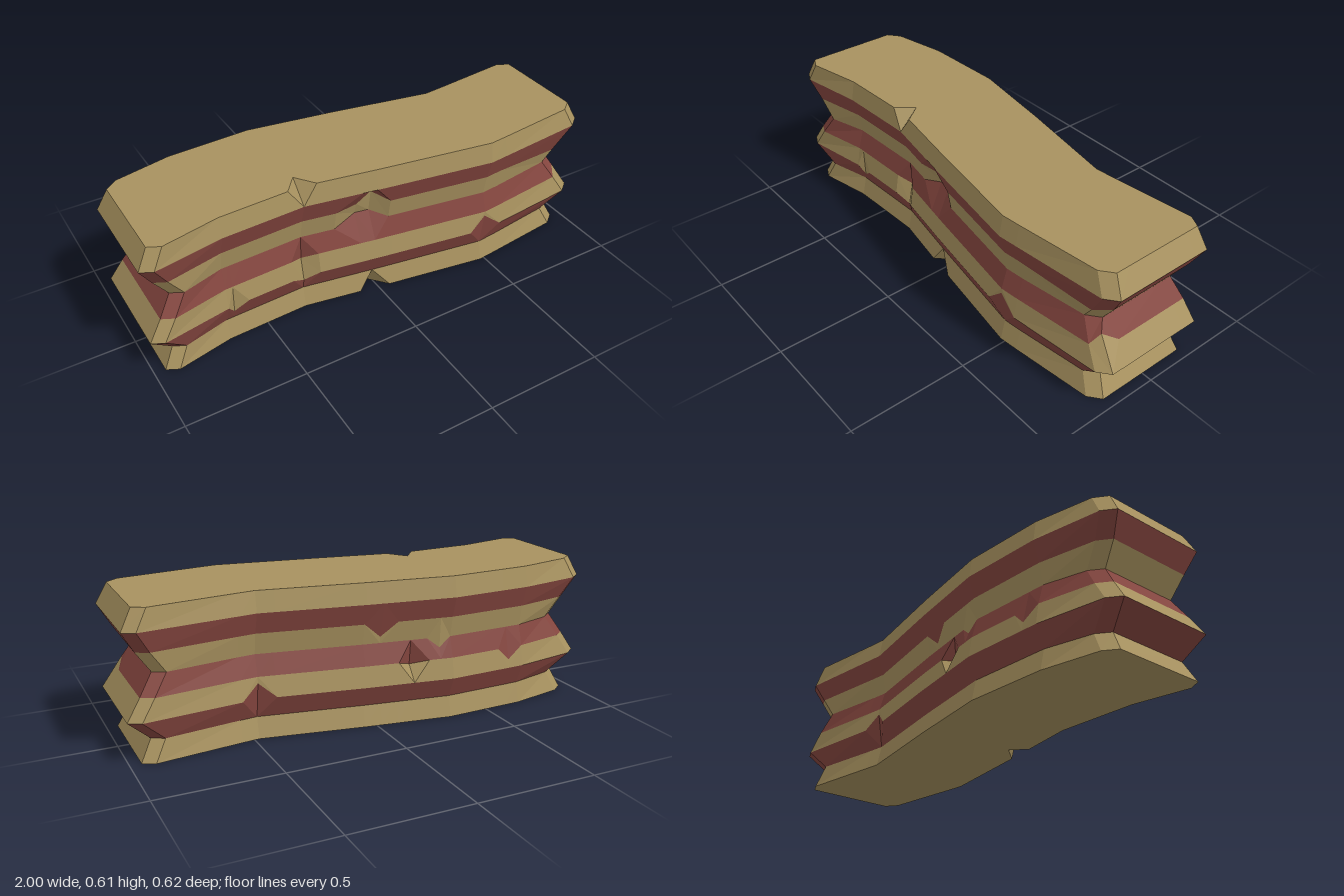
import * as THREE from 'three';

const TAN = 0xa8925f, RED = 0x85463f;

// Ring heights, with how far each ring is drawn in at the ends and at the sides
const LEVELS = [0, 0.087, 0.174, 0.26, 0.345, 0.432, 0.519, 0.605];
const END_INSET = [0.045, 0.09, 0, 0.055, 0.11, 0.05, 0, 0.045];
const SIDE_INSET = [0.015, 0.035, 0, 0.015, 0.04, 0.025, 0, 0.015];

// Wavy plan of the front and back faces
const FRONT = [[-0.95, 0.245], [-0.67, 0.195], [-0.32, 0.18], [0, 0.235], [0.48, 0.31], [0.95, 0.26]];
const BACK = [[-0.95, -0.25], [-0.67, -0.3], [-0.32, -0.315], [0.05, -0.26], [0.48, -0.185], [0.95, -0.235]];
const FRONT_X = [-0.95, -0.67, -0.64, -0.58, -0.38, -0.32, -0.26, -0.18, -0.08, -0.02, 0.05, 0.41, 0.48, 0.56, 0.95];
const BACK_X = [0.95, 0.55, 0.48, 0.41, 0.05, -0.02, -0.09, -0.15, -0.22, -0.27, -0.32, -0.55, -0.6, -0.67, -0.95];

// Chips: ring, column x, side (front 1, back -1), then the shift in x, y, z
const CHIPS = [
  [7, -0.32, 1, 0, 0, -0.07],
  [0, -0.02, 1, 0, 0, -0.07],
  [5, -0.02, 1, 0, 0.048, -0.03], [5, -0.08, 1, 0, 0, -0.03],
  [4, -0.02, 1, 0, 0.035, -0.03], [4, -0.08, 1, 0, 0.035, -0.03],
  [2, 0.48, 1, 0, 0.065, -0.015],
  [2, -0.64, 1, 0, -0.042, -0.018],
  [3, -0.32, 1, 0, -0.025, -0.03], [2, -0.32, 1, 0, -0.04, -0.025],
  [3, 1, 1, -0.03, 0.04, 0], [5, 0.95, 1, -0.02, -0.03, -0.005],
  [2, 0.48, -1, 0, 0.06, 0.013],
  [5, -0.02, -1, 0, -0.06, 0.013],
  [4, -0.27, -1, 0, -0.04, -0.008],
  [3, -0.15, -1, 0, -0.02, 0.035],
  [3, -0.6, -1, 0, -0.05, -0.008],
];

function zAt(points, x) {
  const i = Math.max(1, points.findIndex((p) => p[0] >= x));
  const [x0, z0] = points[i - 1], [x1, z1] = points[i];
  return z0 + (z1 - z0) * (x - x0) / (x1 - x0);
}

// Columns run along the front, round the left end, back along the rear, round the right end
const COLUMNS = [
  ...FRONT_X.map((x) => [x, zAt(FRONT, x)]),
  [1, 0.22], [1, 0.16], [1, -0.15], [1, -0.21],
  ...BACK_X.map((x) => [x, zAt(BACK, x)]),
  [-1, -0.21], [-1, 0.22],
];

function makeRings() {
  const rings = LEVELS.map((y, r) => COLUMNS.map(([x, z]) => {
    const px = Math.abs(x) > 0.9 ? x - Math.sign(x) * END_INSET[r] : x;
    return new THREE.Vector3(px, y, z - Math.sign(z) * SIDE_INSET[r]);
  }));
  for (const [r, x, side, dx, dy, dz] of CHIPS) {
    const i = COLUMNS.findIndex((c) => c[0] === x && c[1] * side > 0);
    rings[r][i].add(new THREE.Vector3(dx, dy, dz));
    rings[r][i].chipped = true;
  }
  return rings;
}

function facetMesh(points, color, name) {
  const geometry = new THREE.BufferGeometry().setFromPoints(points);
  geometry.computeVertexNormals();
  const mesh = new THREE.Mesh(geometry, new THREE.MeshStandardMaterial({ color, flatShading: true }));
  mesh.name = name;
  return mesh;
}

// One coloured stratum between two rings; diagonals fold around chipped corners
function bandPoints(low, high) {
  const points = [];
  low.forEach((a, i) => {
    const j = (i + 1) % low.length;
    const b = low[j], c = high[j], d = high[i];
    if (a.chipped || c.chipped) points.push(a, b, d, b, c, d);
    else points.push(a, b, c, a, c, d);
  });
  return points;
}

function capPoints(ring, up) {
  const outline = ring.map((p) => new THREE.Vector2(p.x, -p.z));
  return THREE.ShapeUtils.triangulateShape(outline, [])
    .flatMap(([a, b, c]) => (up ? [a, b, c] : [a, c, b]).map((i) => ring[i]));
}

export function createModel() {
  const group = new THREE.Group();
  group.name = 'layeredRock';
  const rings = makeRings();

  // Alternating strata
  for (let r = 0; r < 7; r++) {
    const red = r % 2 === 1;
    group.add(facetMesh(bandPoints(rings[r], rings[r + 1]), red ? RED : TAN, (red ? 'redLayer' : 'tanLayer') + r));
  }

  // Flat top and underside
  group.add(facetMesh(capPoints(rings[7], true), TAN, 'topFace'));
  group.add(facetMesh(capPoints(rings[0], false), TAN, 'underside'));
  return group;
}
